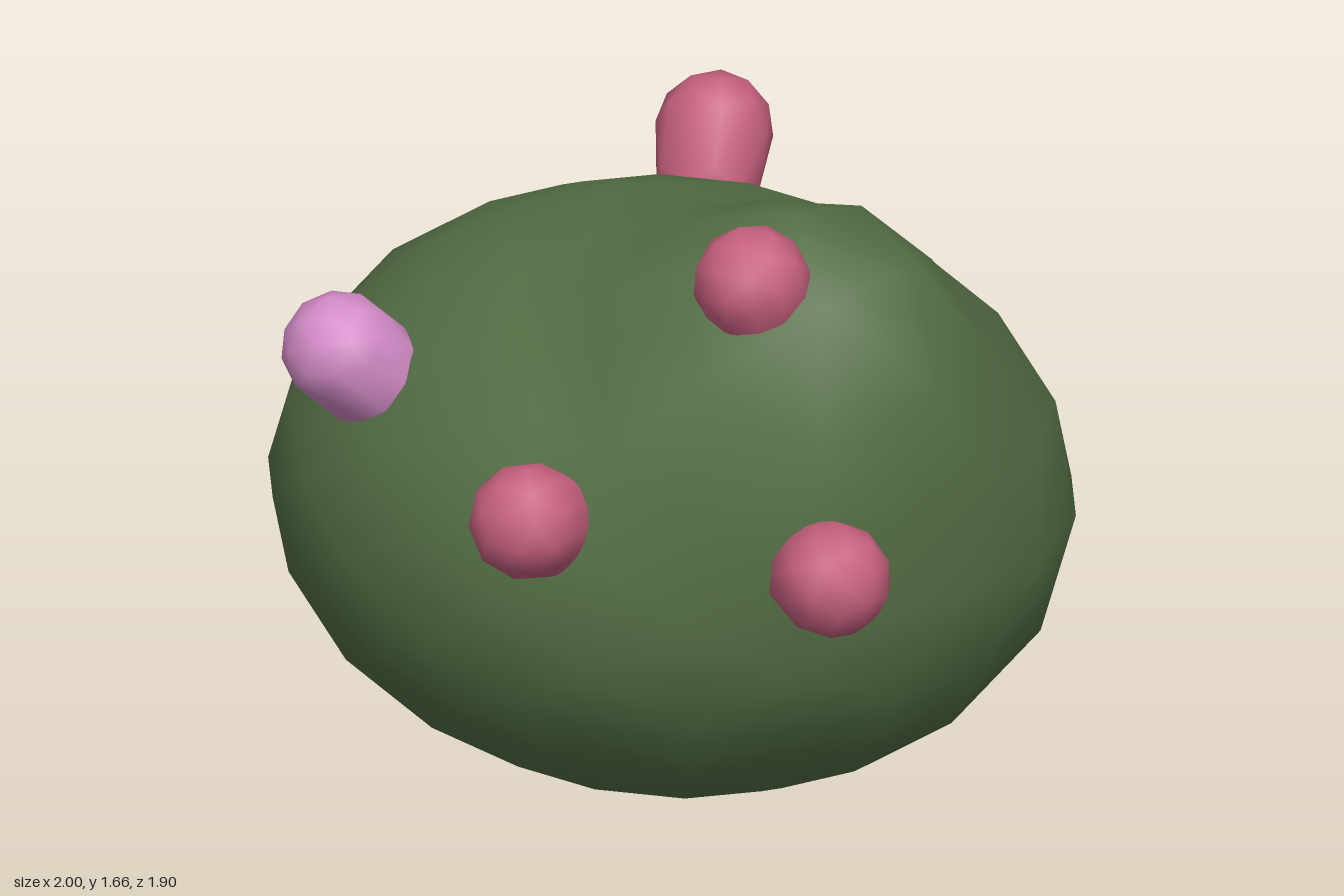
import * as THREE from 'three';
import { mergeVertices } from 'three/addons/utils/BufferGeometryUtils.js';

const CENTER = new THREE.Vector3(0, 0.72, -0.07);
const RADII = new THREE.Vector3(1, 0.72, 0.88);
const LOBE = new THREE.Vector3(0.44, 1.12, 0.17);
const LOBE_RADIUS = 0.5;

// Soft union of the wide body and the round lobe
function field(p) {
  const a = (p.clone().sub(CENTER).divide(RADII).length() - 1) * 0.8;
  const b = p.distanceTo(LOBE) - LOBE_RADIUS;
  const k = 0.1;
  const h = Math.max(k - Math.abs(a - b), 0) / k;
  return Math.min(a, b) - h * h * k * 0.25;
}

// Point on the body surface in a direction from its centre
function surfacePoint(dir, scale = 1) {
  let lo = 0.4, hi = 1.6;
  for (let i = 0; i < 24; i++) {
    const mid = (lo + hi) / 2;
    if (field(CENTER.clone().addScaledVector(dir, mid)) < 0) lo = mid;
    else hi = mid;
  }
  return CENTER.clone().addScaledVector(dir, lo * scale);
}

// Smooth icosphere with every vertex moved by a rule
function moldedSphere(detail, rule) {
  let g = new THREE.IcosahedronGeometry(1, detail);
  g.deleteAttribute('uv');
  g.deleteAttribute('normal');
  g = mergeVertices(g, 1e-4);
  const pos = g.attributes.position;
  const v = new THREE.Vector3();
  for (let i = 0; i < pos.count; i++) {
    const q = rule(v.fromBufferAttribute(pos, i).clone());
    pos.setXYZ(i, q.x, q.y, q.z);
  }
  g.computeVertexNormals();
  return g;
}

export function createModel() {
  const group = new THREE.Group();
  const green = new THREE.MeshStandardMaterial({ color: 0x546f45 });
  const pink = new THREE.MeshStandardMaterial({ color: 0xc6607e });
  const lilac = new THREE.MeshStandardMaterial({ color: 0xd48cc8 });
  const lilacPatch = lilac.clone();
  lilacPatch.side = THREE.DoubleSide;
  green.name = 'green';
  pink.name = 'pink';
  lilac.name = lilacPatch.name = 'lilac';

  const add = (name, geometry, material) => {
    const mesh = new THREE.Mesh(geometry, material);
    mesh.name = name;
    group.add(mesh);
    return mesh;
  };

  // Body with lobe
  add('body', moldedSphere(3, (d) => surfacePoint(d.normalize())), green);

  // Buds: small balls whose inner side stretches into the body as a neck
  const bud = moldedSphere(1, (p) => {
    if (p.y < -0.3) {
      const side = Math.hypot(p.x, p.z);
      const s = side > 0.01 ? Math.max(1, 0.8 / side) : 1;
      p.set(p.x * s, p.y - 0.5, p.z * s);
    }
    return p.multiplyScalar(0.143);
  });
  const buds = [
    ['frontBud', pink, 0.07, 0.97, 0.81],
    ['sideBud', pink, 0.79, 0.88, 0.6],
    ['lobeBud', pink, 0.47, 1.52, 0.41],
    ['backBud', pink, -0.18, 1.41, -0.63],
    ['lilacBud', lilac, -0.57, 1.2, 0.56],
  ];
  for (const [name, material, x, y, z] of buds) {
    const mesh = add(name, bud, material);
    mesh.position.set(x, y, z);
    const base = name === 'lobeBud' ? LOBE : CENTER;
    const out = mesh.position.clone().sub(base).divide(name === 'lobeBud' ? new THREE.Vector3(1, 1, 1) : RADII.clone().multiply(RADII)).normalize();
    mesh.quaternion.setFromUnitVectors(new THREE.Vector3(0, 1, 0), out);
  }

  // Jagged patch lying on the side, outlined in (z, y)
  const outline = [[-0.19, 0.88], [-0.52, 0.91], [-0.52, 0.675], [-0.33, 0.705], [-0.42, 0.73]];
  const patch = new THREE.ShapeGeometry(new THREE.Shape(outline.map(([z, y]) => new THREE.Vector2(z, y))));
  const pos = patch.attributes.position;
  for (let i = 0; i < pos.count; i++) {
    const z = pos.getX(i), y = pos.getY(i);
    const v = (y - CENTER.y) / RADII.y, w = (z - CENTER.z) / RADII.z;
    const x = -RADII.x * Math.sqrt(1 - v * v - w * w);
    const q = surfacePoint(new THREE.Vector3(x, y, z).sub(CENTER).normalize(), 1.025);
    pos.setXYZ(i, q.x, q.y, q.z);
  }
  patch.computeVertexNormals();
  add('sidePatch', patch, lilacPatch);

  return group;
}
